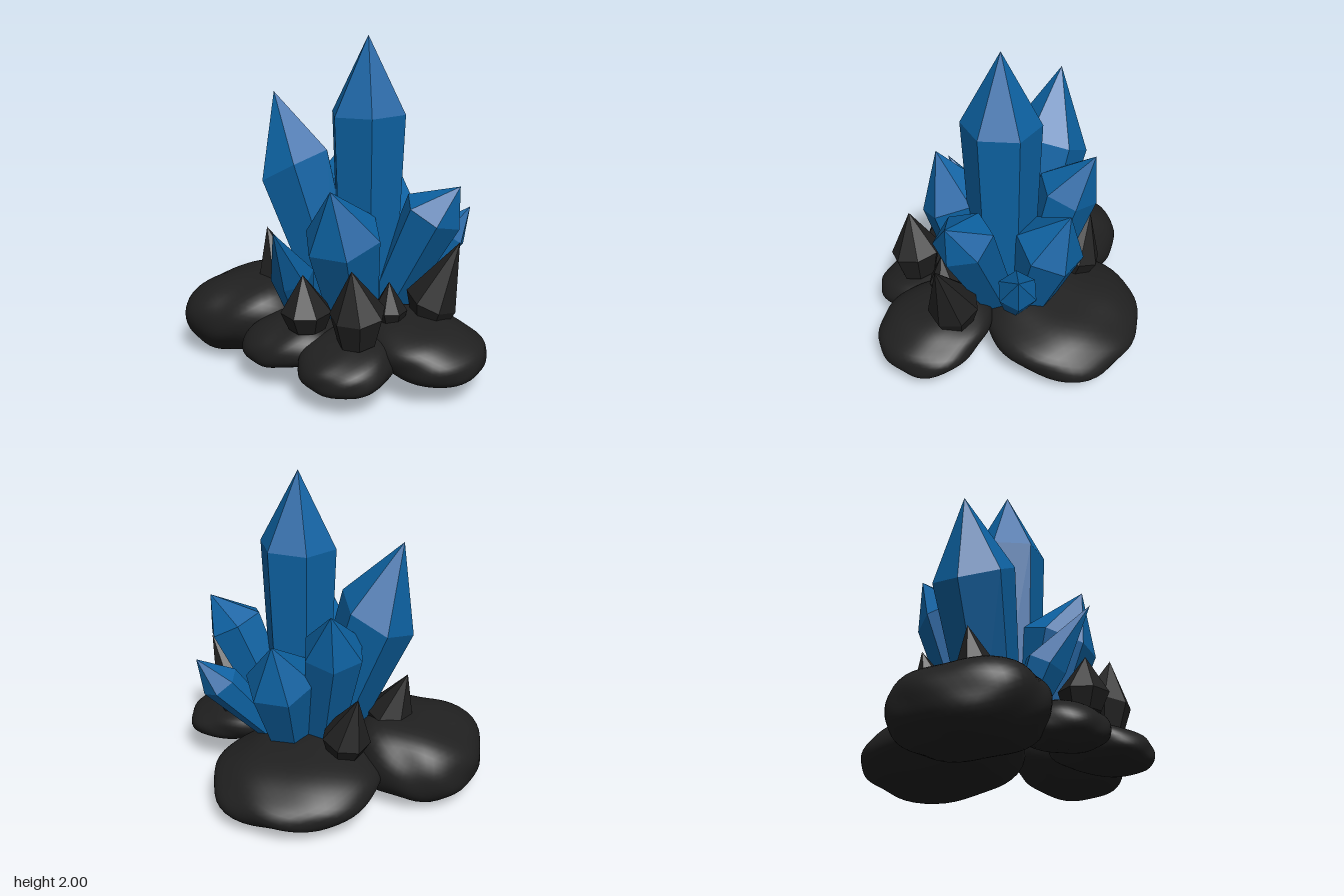
import * as THREE from 'three';
import { mergeVertices } from 'three/addons/utils/BufferGeometryUtils.js';

const V = (a) => new THREE.Vector3(...a);

// Faceted crystal: base ring, wider tilted shoulder ring, sharp tip
function crystalGeometry({ base, mid, tip, r, tilt = 0, dir = 0, phase = 0, sides = 6, taper = 0.66 }) {
  const n = new THREE.Vector3(Math.cos(dir) * Math.sin(tilt), Math.cos(tilt), Math.sin(dir) * Math.sin(tilt));
  const out = new THREE.Vector3(Math.cos(dir), 0, Math.sin(dir));
  const u = out.addScaledVector(n, -out.dot(n)).normalize();
  const v = n.clone().cross(u);
  const ring = (c, rad) => Array.from({ length: sides }, (_, i) => {
    const a = phase + (i / sides) * Math.PI * 2;
    return V(c).addScaledVector(u, Math.cos(a) * rad).addScaledVector(v, Math.sin(a) * rad);
  });
  const low = ring(base, r * taper), high = ring(mid, r), top = V(tip), bottom = V(base);
  const points = [];
  for (let i = 0; i < sides; i++) {
    const j = (i + 1) % sides;
    points.push(low[i], low[j], high[j], low[i], high[j], high[i]);
    points.push(high[i], high[j], top, low[j], low[i], bottom);
  }
  // unshared corners, so the normals are flat
  const g = new THREE.BufferGeometry().setFromPoints(points);
  g.computeVertexNormals();
  return g;
}

// Smooth boulder: squared-off ellipsoid with gentle lumps
function rockGeometry(size, square, seed) {
  let g = new THREE.IcosahedronGeometry(1, 9);
  g.deleteAttribute('uv');
  g.deleteAttribute('normal');
  g = mergeVertices(g, 1e-4);
  const p = g.attributes.position, d = new THREE.Vector3();
  for (let i = 0; i < p.count; i++) {
    d.fromBufferAttribute(p, i).normalize();
    const box = (Math.abs(d.x) ** square + Math.abs(d.y) ** square + Math.abs(d.z) ** square) ** (-1 / square);
    const lump = 1 + 0.03 * Math.sin(3.1 * d.x + seed) * Math.cos(2.7 * d.z + seed * 2)
      + 0.02 * Math.sin(6 * d.z + 4 * d.y + seed * 3) + 0.015 * Math.sin(8 * d.x - 5 * d.y + seed);
    d.multiplyScalar(box * lump);
    p.setXYZ(i, d.x * size[0], d.y * size[1], d.z * size[2]);
  }
  g.computeVertexNormals();
  return g;
}

export function createModel() {
  const model = new THREE.Group();
  const blue = new THREE.MeshStandardMaterial({ color: 0x0d62a2 });
  blue.name = 'crystalBlue';
  const dark = new THREE.MeshStandardMaterial({ color: 0x202020 });
  dark.name = 'rockDark';

  const add = (name, geometry, material) => {
    const m = new THREE.Mesh(geometry, material);
    m.name = name;
    model.add(m);
    return m;
  };
  const PI = Math.PI, H = PI / 6;

  // Blue crystals
  const crystals = {
    mainCrystal: { base: [0.17, 0.3, 0.01], mid: [0.173, 1.55, 0.01], tip: [0.17, 2, 0.01], r: 0.237, taper: 0.78, tilt: 0.03, dir: PI },
    rightCrystal: { base: [-0.04, 0.35, 0], mid: [-0.325, 1.18, 0], tip: [-0.47, 1.63, 0], r: 0.25, tilt: 0.5, dir: PI },
    leftCrystal: { base: [0.28, 0.35, 0], mid: [0.59, 1.0, 0], tip: [0.75, 1.17, 0], r: 0.183, tilt: 0.5, dir: 0 },
    frontCrystal: { base: [0.17, 0.33, 0.19], mid: [0.17, 0.89, 0.345], tip: [0.17, 1.19, 0.5], r: 0.237, tilt: 0.42, dir: PI / 2, phase: H },
    frontRightCrystal: { base: [-0.16, 0.34, 0.25], mid: [-0.15, 0.61, 0.37], tip: [-0.12, 0.95, 0.635], r: 0.13, tilt: 0.5, dir: 1.5 },
    backRightCrystal: { base: [-0.02, 0.35, -0.12], mid: [-0.13, 1.03, -0.27], tip: [-0.16, 1.3, -0.43], r: 0.19, tilt: 0.4, dir: -1.85 },
    backCrystal: { base: [0.17, 0.37, -0.19], mid: [0.18, 0.82, -0.335], tip: [0.18, 1.09, -0.47], r: 0.215, tilt: 0.45, dir: -PI / 2, phase: H },
    backLeftCrystal: { base: [0.3, 0.37, -0.16], mid: [0.56, 0.76, -0.35], tip: [0.67, 0.93, -0.43], r: 0.12, tilt: 0.6, dir: -0.65 },
  };
  for (const [name, c] of Object.entries(crystals)) add(name, crystalGeometry(c), blue);

  // Dark spikes around the cluster
  const spikes = [
    { base: [-0.38, 0.4, 0.07], mid: [-0.4, 0.48, 0.07], tip: [-0.51, 0.77, 0.05], r: 0.155, tilt: 0.25, dir: PI },
    { base: [0.03, 0.37, 0.52], mid: [0.03, 0.48, 0.53], tip: [0.02, 0.7, 0.55], r: 0.15, tilt: 0.05, dir: PI / 2 },
    { base: [0.36, 0.36, 0.54], mid: [0.365, 0.53, 0.55], tip: [0.35, 0.79, 0.6], r: 0.16, tilt: 0.2, dir: PI / 2, phase: H },
    { base: [0.44, 0.38, 0.26], mid: [0.44, 0.47, 0.27], tip: [0.44, 0.64, 0.29], r: 0.1, tilt: 0.1, dir: 0.6 },
    { base: [0.6, 0.37, 0.07], mid: [0.62, 0.49, 0.07], tip: [0.78, 0.86, 0.065], r: 0.16, tilt: 0.4, dir: 0 },
    { base: [-0.2, 0.37, -0.28], mid: [-0.22, 0.48, -0.3], tip: [-0.3, 0.76, -0.34], r: 0.15, tilt: 0.3, dir: -2.4 },
  ];
  spikes.forEach((s, i) => add('darkSpike' + (i + 1), crystalGeometry({ sides: 7, taper: 0.72, ...s }), dark));

  // Base boulders: name, centre, half sizes, squareness, x and z rotation
  const rocks = [
    ['rightRock', [-0.57, 0.25, 0.1], [0.41, 0.24, 0.42], 2.5, 0, 0.14],
    ['backRock', [0.07, 0.215, -0.36], [0.5, 0.19, 0.48], 2.15, -0.13, -0.03],
    ['leftRock', [0.64, 0.26, 0.21], [0.36, 0.15, 0.33], 2.2, 0.04, -0.2],
    ['frontLeftRock', [0.3, 0.23, 0.53], [0.265, 0.13, 0.31], 2.3, 0.15, -0.02],
    ['frontRightRock', [-0.12, 0.25, 0.44], [0.285, 0.14, 0.265], 2.2, 0.15, 0.17],
  ];
  rocks.forEach(([name, at, size, square, rx, rz], i) => {
    const m = add(name, rockGeometry(size, square, i * 1.7 + 0.6), dark);
    m.position.set(...at);
    m.rotation.set(rx, 0, rz);
  });

  return model;
}
